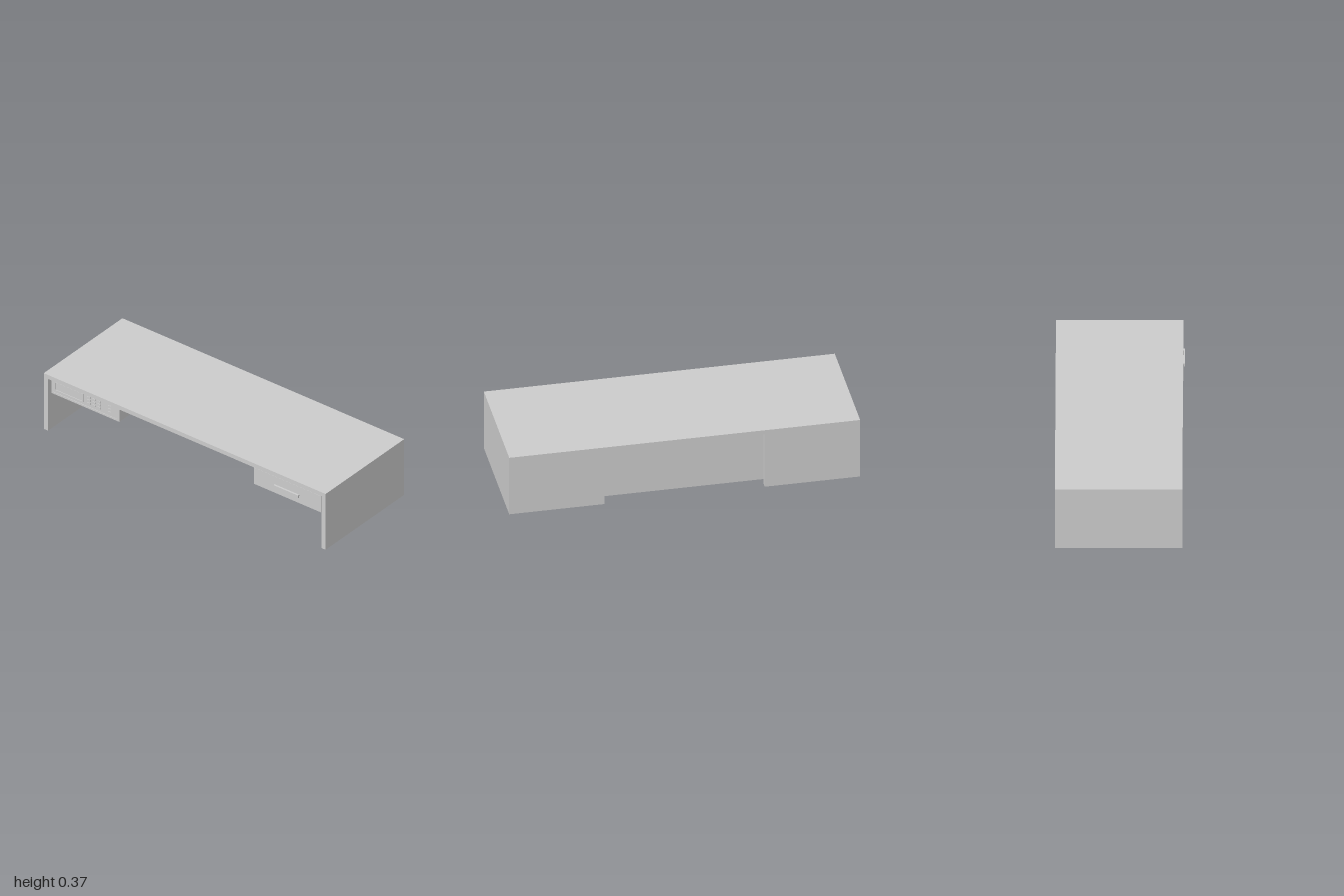
import * as THREE from 'three';

export function createModel() {
  const desk = new THREE.Group();
  desk.name = 'desk';
  const mat = new THREE.MeshStandardMaterial({ color: 0xcccccc, flatShading: true });

  // box given by its limits on each axis
  function box(name, x0, x1, y0, y1, z0, z1, parent = desk) {
    const mesh = new THREE.Mesh(new THREE.BoxGeometry(x1 - x0, y1 - y0, z1 - z0), mat);
    mesh.position.set((x0 + x1) / 2, (y0 + y1) / 2, (z0 + z1) / 2);
    mesh.name = name;
    parent.add(mesh);
    return mesh;
  }

  const back = -0.361, front = 0.351, top = 0.372, under = 0.345;
  const inner = 0.97, boxBottom = 0.235, apron = 0.318;

  // worktop
  box('worktop', -1, 1, under, top, back, front);

  // side panels and the back panels that join them
  for (const s of [-1, 1]) {
    const side = s > 0 ? 'left' : 'right';
    const span = (a, b) => (s > 0 ? [a, b] : [-b, -a]);
    box(side + 'SidePanel', ...span(inner, 1), 0, under, back, front);
    box(side + 'BackPanel', ...span(0.456, inner), 0, under, back, back + 0.028);
  }

  // recessed panel behind the knee space
  box('kneePanel', -0.57, 0.57, 0, under, -0.28, -0.252);

  // shelf under the worktop
  box('underShelf', -0.49, 0.49, 0.32, under, -0.252, apron);

  // drawer
  const drawer = new THREE.Group();
  drawer.name = 'drawer';
  desk.add(drawer);
  box('drawerBody', 0.49, inner, boxBottom, under, back + 0.028, front - 0.02, drawer);
  box('drawerFront', 0.49, inner - 0.004, boxBottom, under - 0.002, front - 0.02, front - 0.001, drawer);

  // drawer pull with a hooked profile
  const hook = new THREE.Shape([
    [0, 0.283], [0.005, 0.283], [0.005, 0.273], [0.011, 0.273], [0.011, 0.291], [0, 0.291],
  ].map(([z, y]) => new THREE.Vector2(-z, y)));
  const pull = new THREE.Mesh(new THREE.ExtrudeGeometry(hook, { depth: 0.175, bevelEnabled: false }), mat);
  pull.rotation.y = Math.PI / 2;
  pull.position.set(0.638, 0, front - 0.001);
  pull.name = 'drawerPull';
  drawer.add(pull);

  // control unit
  const unit = new THREE.Group();
  unit.name = 'controlUnit';
  desk.add(unit);
  box('controlBody', -inner, -0.49, boxBottom, under, back + 0.028, apron, unit);

  // thin rectangular frame on the control face
  function frame(name, x0, x1, y0, y1, w, depth) {
    const s = new THREE.Shape([[x0, y0], [x1, y0], [x1, y1], [x0, y1]].map(p => new THREE.Vector2(...p)));
    s.holes.push(new THREE.Path([
      [x0 + w, y0 + w], [x0 + w, y1 - w], [x1 - w, y1 - w], [x1 - w, y0 + w],
    ].map(p => new THREE.Vector2(...p))));
    const mesh = new THREE.Mesh(new THREE.ExtrudeGeometry(s, { depth, bevelEnabled: false }), mat);
    mesh.position.z = apron;
    mesh.name = name;
    unit.add(mesh);
  }
  frame('controlSurround', -0.962, -0.498, 0.243, 0.337, 0.006, 0.003);
  frame('displayFrame', -0.945, -0.745, 0.264, 0.32, 0.005, 0.004);

  // push buttons
  for (let c = 0; c < 4; c++) {
    for (let r = 0; r < 3; r++) {
      const x = -0.715 + c * 0.036 + (c === 3 ? 0.04 : 0), y = 0.266 + r * 0.02;
      box('button', x, x + 0.02, y, y + 0.012, apron, apron + 0.004, unit);
    }
  }

  return desk;
}
